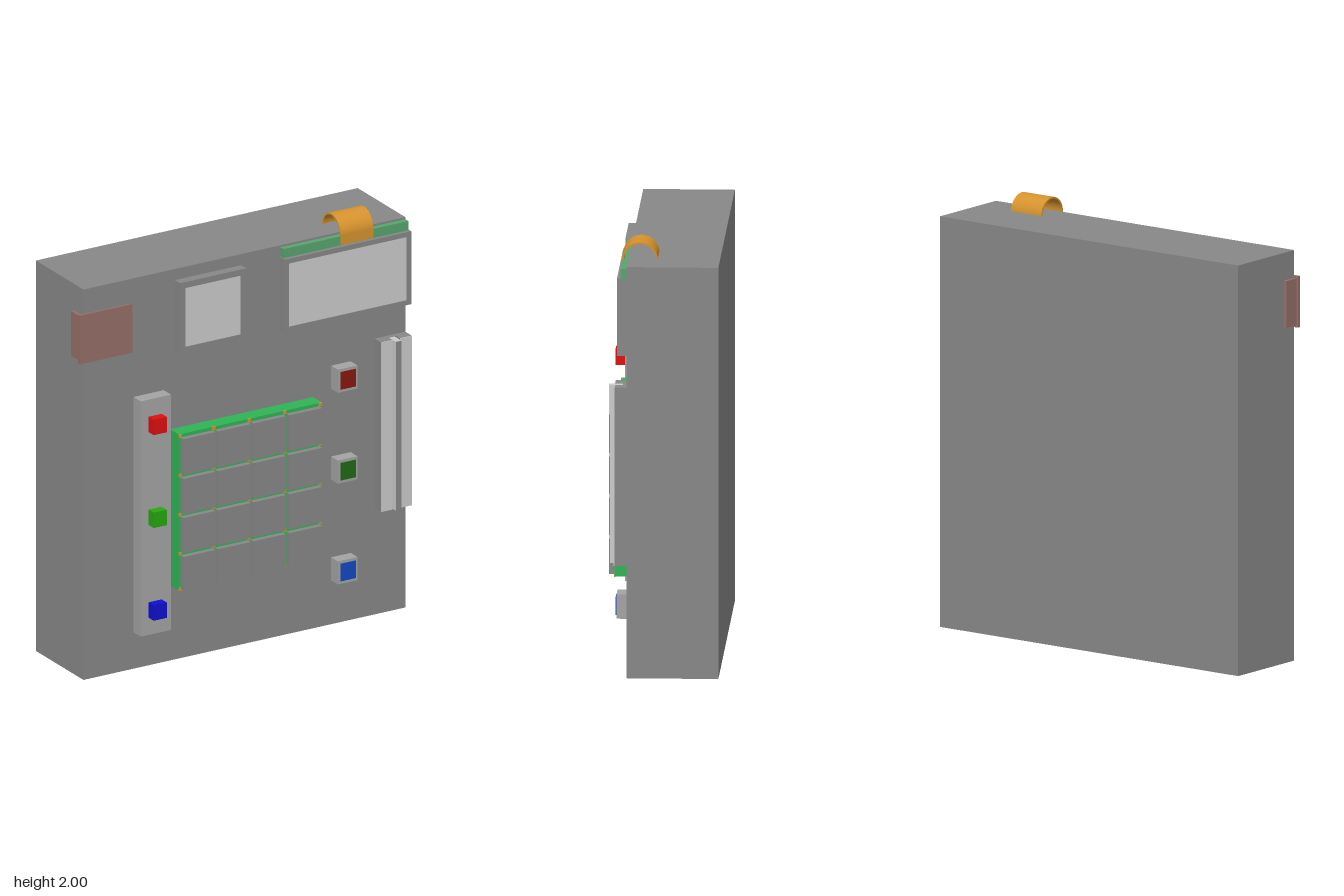
import * as THREE from 'three';

const mat = (color) => new THREE.MeshStandardMaterial({ color });
const GREY = mat(0xcccccc), MID = mat(0xa4a4a4), DARK = mat(0x888888);
const GREEN = mat(0x2fb457), BOARD = mat(0x58a56e), BROWN = mat(0x966f68), COPPER = mat(0xd6932e);
const FACE = 0.155; // z of the case front

export function createModel() {
  const root = new THREE.Group();

  // Box given by its limits on each axis
  const box = (name, material, x0, x1, y0, y1, z0, z1, parent = root) => {
    const mesh = new THREE.Mesh(new THREE.BoxGeometry(x1 - x0, y1 - y0, z1 - z0), material);
    mesh.position.set((x0 + x1) / 2, (y0 + y1) / 2, (z0 + z1) / 2);
    mesh.name = name;
    parent.add(mesh);
  };
  const group = (name) => {
    const g = new THREE.Group();
    g.name = name;
    root.add(g);
    return g;
  };
  const rect = (C, x0, x1, y0, y1) => new C([[x0, y0], [x1, y0], [x1, y1], [x0, y1]]
    .map(([x, y]) => new THREE.Vector2(x, y)));

  // Dark rectangular frame around a light inset panel
  const screen = (name, x0, x1, y0, y1, border) => {
    const g = group(name);
    const shape = rect(THREE.Shape, x0, x1, y0, y1);
    shape.holes.push(rect(THREE.Path, x0 + border, x1 - border, y0 + border, y1 - border));
    const frame = new THREE.Mesh(
      new THREE.ExtrudeGeometry(shape, { depth: 0.2 - FACE, bevelEnabled: false }), DARK);
    frame.position.z = FACE;
    frame.name = name + 'Frame';
    g.add(frame);
    box(name + 'Panel', GREY, x0 + border, x1 - border, y0 + border, y1 - border, FACE, 0.197, g);
  };

  box('case', DARK, -0.855, 0.87, 0, 1.925, -0.265, FACE);

  // Corner sensor, overhanging the side of the case
  const sensor = group('cornerSensor');
  box('sensorBody', BROWN, -0.872, -0.61, 1.575, 1.795, 0.075, 0.152, sensor);
  box('sensorCover', BROWN, -0.88, -0.6, 1.565, 1.805, 0.15, 0.167, sensor);

  // Screens, the wide one with its circuit board showing above
  screen('squareScreen', -0.365, -0.01, 1.52, 1.87, 0.03);
  screen('wideDisplay', 0.195, 0.875, 1.51, 1.87, 0.024);
  box('displayBoard', BOARD, 0.2, 0.87, 1.87, 1.915, FACE, 0.183);

  // Ribbon cable arching from the display board onto the case
  const arc = new THREE.Shape();
  arc.absarc(0, 0, 0.082, 0, Math.PI, false);
  arc.absarc(0, 0, 0.074, Math.PI, 0, true);
  const ribbon = new THREE.Mesh(
    new THREE.ExtrudeGeometry(arc, { depth: 0.175, bevelEnabled: false, curveSegments: 20 }), COPPER);
  ribbon.rotation.y = Math.PI / 2;
  ribbon.position.set(0.505, 1.918, 0.103);
  ribbon.name = 'ribbonCable';
  root.add(ribbon);
  box('ribbonTab', COPPER, 0.505, 0.68, 1.872, 1.92, 0.177, 0.185);

  // Strip of three indicator lights
  const lights = group('lightStrip');
  box('strip', MID, -0.587, -0.425, 0.18, 1.34, FACE, 0.22, lights);
  [[1.218, 0xe01010], [0.76, 0x27a80f], [0.303, 0x1010d0]].forEach(([y, c]) =>
    box('light', mat(c), -0.545, -0.475, y - 0.038, y + 0.038, 0.22, 0.265, lights));

  // Keypad: board, 4 x 4 blank keys, contacts at the gap crossings
  const keypad = group('keypad');
  box('keypadBoard', GREEN, -0.39, 0.375, 0.37, 1.14, FACE, 0.232, keypad);
  const cols = [[-0.382, -0.21], [-0.197, -0.02], [-0.007, 0.167], [0.185, 0.362]];
  const rows = [[0.38, 0.543], [0.562, 0.735], [0.753, 0.928], [0.947, 1.124]];
  for (const [x0, x1] of cols)
    for (const [y0, y1] of rows) box('key', DARK, x0, x1, y0, y1, 0.23, 0.258, keypad);
  for (const x of [-0.383, -0.204, -0.014, 0.176, 0.367])
    for (const y of [0.377, 0.552, 0.744, 0.938, 1.132])
      box('contact', COPPER, x - 0.008, x + 0.008, y - 0.008, y + 0.008, 0.228, 0.236, keypad);

  // Push buttons with coloured caps
  [[1.218, 0x86180f], [0.77, 0x1f6a14], [0.273, 0x1249c4]].forEach(([y, c], i) => {
    const b = group('pushButton' + (i + 1));
    box('buttonBase', MID, 0.472, 0.577, y - 0.057, y + 0.057, FACE, 0.215, b);
    box('buttonCap', mat(c), 0.485, 0.566, y - 0.043, y + 0.043, 0.2, 0.219, b);
  });

  // Card slot: two light-faced rails with a dark-edged card standing between them
  const slot = group('cardSlot');
  for (const [x0, x1] of [[0.705, 0.765], [0.806, 0.87]]) {
    box('rail', DARK, x0, x1, 0.525, 1.36, FACE, 0.211, slot);
    box('railFace', GREY, x0, x1, 0.525, 1.36, 0.211, 0.215, slot);
  }
  box('slotFloor', DARK, 0.765, 0.806, 0.525, 1.36, FACE, 0.175, slot);
  box('card', GREY, 0.77, 0.8, 0.525, 1.358, 0.175, 0.235, slot);
  box('cardEdge', DARK, 0.77, 0.8, 0.525, 1.358, 0.235, 0.238, slot);

  return root;
}
